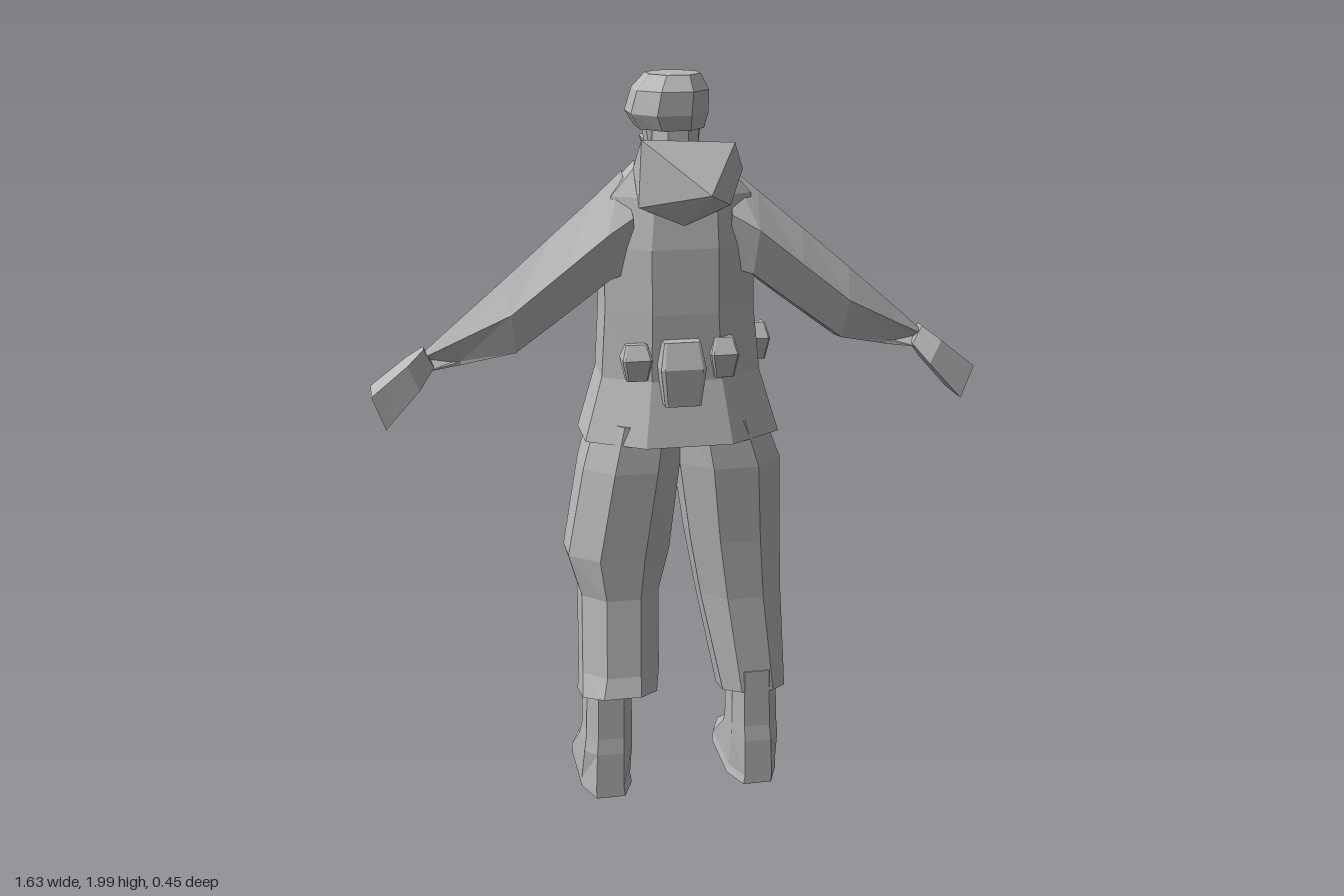
import * as THREE from 'three';
import { ConvexGeometry } from 'three/addons/geometries/ConvexGeometry.js';

const grey = new THREE.MeshStandardMaterial({ color: 0xb8b8b8, flatShading: true, side: THREE.DoubleSide });
grey.name = 'plain grey';

// Closed skin over equal-length rings of [x, y, z], turned outward whatever the ring order.
function loft(rings) {
  const tris = [], n = rings[0].length, last = rings.length - 1;
  for (let r = 0; r < last; r++) for (let i = 0; i < n; i++) {
    const j = (i + 1) % n, a = rings[r], b = rings[r + 1];
    tris.push([a[i], a[j], b[j]], [a[i], b[j], b[i]]);
  }
  for (let i = 1; i < n - 1; i++) {
    tris.push([rings[0][0], rings[0][i + 1], rings[0][i]]);
    tris.push([rings[last][0], rings[last][i], rings[last][i + 1]]);
  }
  const v = p => new THREE.Vector3(...p);
  const volume = tris.reduce((s, [a, b, c]) => s + v(a).dot(v(b).cross(v(c))), 0);
  if (volume < 0) tris.forEach(t => t.reverse());
  const geo = new THREE.BufferGeometry();
  geo.setAttribute('position', new THREE.Float32BufferAttribute(tris.flat(2), 3));
  geo.computeVertexNormals();
  return geo;
}

// Chamfered level ring between x0..x1 and z0..z1; tilt raises the +z side.
function ring(y, x0, x1, z0, z1, c = 0.28, tilt = 0) {
  const dx = (x1 - x0) * c, dz = (z1 - z0) * c;
  return [[x0 + dx, z0], [x1 - dx, z0], [x1, z0 + dz], [x1, z1 - dz],
    [x1 - dx, z1], [x0 + dx, z1], [x0, z1 - dz], [x0, z0 + dz]]
    .map(([x, z]) => [x, y + tilt * (z - (z0 + z1) / 2), z]);
}

const hull = pts => new ConvexGeometry(pts.map(p => new THREE.Vector3(...p)));

export function createModel() {
  const model = new THREE.Group();
  const add = (name, geo) => {
    const mesh = new THREE.Mesh(geo, grey);
    mesh.name = name;
    model.add(mesh);
  };

  // Jacket with flared hem
  add('jacket', loft([
    ring(1.05, -0.26, 0.27, -0.17, 0.18),
    ring(1.22, -0.21, 0.22, -0.15, 0.14),
    ring(1.4, -0.2, 0.2, -0.145, 0.145),
    ring(1.57, -0.2, 0.2, -0.13, 0.14),
    ring(1.7, -0.18, 0.19, -0.1, 0.12),
    ring(1.78, -0.11, 0.12, -0.05, 0.09),
  ]));

  // Hood hanging behind the neck
  add('hood', hull([
    [-0.11, 1.85, 0.12], [0.13, 1.84, 0.13], [0.17, 1.76, 0.05], [0.12, 1.68, 0.13], [0, 1.63, 0.13],
    [-0.12, 1.68, 0.13], [-0.12, 1.77, 0.05], [0.05, 1.72, 0.225], [0.02, 1.74, -0.02],
  ]));

  // Neck, masked face and cap
  add('neck', loft([ring(1.66, -0.07, 0.07, -0.07, 0.05), ring(1.88, -0.06, 0.06, -0.1, 0.04)]));
  add('face', loft([
    ring(1.78, -0.06, 0.06, -0.13, 0.02), ring(1.9, -0.08, 0.075, -0.15, 0.04),
  ]));
  add('mask', hull([
    [-0.03, 1.69, -0.11], [0.03, 1.69, -0.11], [-0.04, 1.75, -0.19], [0.04, 1.75, -0.19],
    [0, 1.84, -0.205], [-0.07, 1.83, -0.15], [0.07, 1.83, -0.15],
    [-0.07, 1.82, -0.05], [0.07, 1.82, -0.05], [-0.04, 1.74, -0.05], [0.04, 1.74, -0.05],
  ]));
  add('cap', loft([
    ring(1.86, -0.09, 0.08, -0.165, 0.045),
    ring(1.9, -0.115, 0.09, -0.18, 0.06),
    ring(1.96, -0.1, 0.09, -0.155, 0.06),
    ring(2.0, -0.065, 0.07, -0.125, 0.03),
  ]));

  for (const s of [1, -1]) {
    const side = s > 0 ? 'left' : 'right';

    // Pointed collar
    add(side + 'Collar', hull([
      [s * 0.1, 1.83, 0.06], [s * 0.03, 1.72, -0.11], [s * 0.13, 1.72, 0],
      [s * 0.07, 1.75, -0.1], [s * 0.08, 1.78, 0.05],
    ]));

    // Sleeve sections: x, top, bottom, back z, front z
    const slices = [[0.13, 1.76, 1.5, -0.08, 0.11], [0.2, 1.7, 1.48, -0.07, 0.13],
      [0.32, 1.6, 1.39, -0.04, 0.125], [0.45, 1.49, 1.295, -0.01, 0.12],
      [0.59, 1.37, 1.27, 0.02, 0.08], [0.68, 1.29, 1.26, 0.035, 0.06]];
    add(side + 'Sleeve', loft(slices.map(([x, t, b, z0, z1]) => {
      const m = (t + b) / 2, z = (z0 + z1) / 2;
      return [[s * (x + 0.015), t, z], [s * x, m + 0.02, z1], [s * (x - 0.01), b + 0.01, z1 - 0.03],
        [s * (x - 0.01), b, z0 + 0.03], [s * x, m + 0.02, z0]];
    })));

    // Mitten hand, widening to its end
    const palm = (xt, yt, xb, yb, z0, z1) =>
      [[xt, yt, z0], [xt, yt, z1], [xb, yb, z1], [xb, yb, z0]].map(([x, y, z]) => [s * x, y, z]);
    add(side + 'Hand', loft([
      palm(0.675, 1.32, 0.65, 1.27, 0.03, 0.065),
      palm(0.72, 1.285, 0.69, 1.22, 0, 0.1),
      palm(0.815, 1.21, 0.782, 1.12, -0.01, 0.105),
    ]));

    // Boot: sole, instep and shaft
    const toe = y => ring(y, 0.14, 0.285, -0.21, 0.145, 0.22);
    const mirror = r => r.map(([x, y, z]) => [s * x, y, z]);
    add(side + 'Boot', loft([
      toe(0.01),
      ring(0.035, 0.145, 0.285, -0.225, 0.145, 0.22),
      ring(0.145, 0.145, 0.28, -0.045, 0.145, 0.22),
      ring(0.19, 0.145, 0.275, -0.02, 0.14, 0.22),
      ring(0.36, 0.145, 0.27, -0.02, 0.14, 0.22),
    ].map(mirror)));
  }

  // Baggy trouser legs, each with its own folds
  add('leftTrouserLeg', loft([
    ring(0.28, 0.12, 0.3, -0.045, 0.14, 0.25, 0.2),
    ring(0.58, 0.06, 0.29, -0.095, 0.125),
    ring(0.75, 0.03, 0.285, -0.105, 0.13),
    ring(0.97, 0, 0.28, -0.13, 0.145),
    ring(1.1, -0.01, 0.23, -0.13, 0.14),
  ]));
  add('rightTrouserLeg', loft([
    ring(0.305, -0.285, -0.075, -0.04, 0.17, 0.25, 0.2),
    ring(0.38, -0.28, -0.065, -0.05, 0.15),
    ring(0.6, -0.275, -0.06, -0.095, 0.125),
    ring(0.72, -0.31, -0.03, -0.105, 0.13),
    ring(0.97, -0.265, 0, -0.13, 0.145),
    ring(1.1, -0.23, 0.01, -0.13, 0.14),
  ]));

  // Belt pouches: name, x range, y range, z range, taper at the bottom
  const pouches = [
    ['smallPouchRight', -0.17, -0.09, 1.23, 1.325, 0.1, 0.17],
    ['canteenPouch', -0.075, 0.045, 1.165, 1.335, 0.12, 0.205],
    ['smallPouchLeft', 0.065, 0.14, 1.23, 1.335, 0.1, 0.17],
    ['sidePouch', 0.19, 0.265, 1.23, 1.33, -0.07, 0.005],
    ['largePouch', -0.1, 0.1, 1.175, 1.32, -0.22, -0.12],
  ];
  for (const [name, x0, x1, y0, y1, z0, z1] of pouches) {
    const k = 0.012;
    add(name, loft([
      ring(y0, x0 + k, x1 - k, z0 + k, z1 - k, 0.08),
      ring(y0 + (y1 - y0) * 0.6, x0, x1, z0, z1, 0.08),
      ring(y1, x0 + k, x1 - k, z0 + 2 * k, z1 - 2 * k, 0.08),
    ]));
  }

  return model;
}
